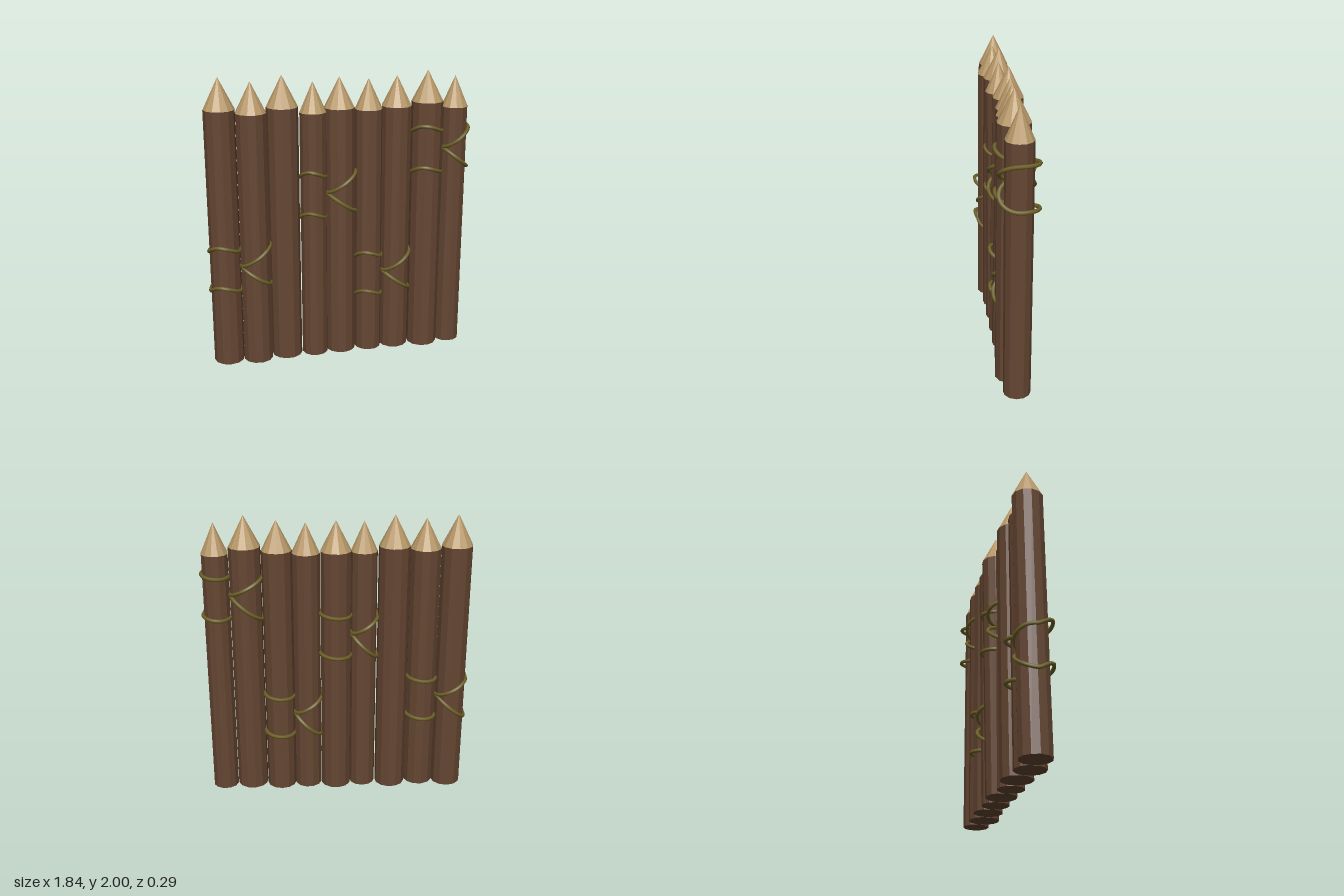
import * as THREE from 'three';

// Each log: centre x, radius, shoulder height, tip height, z at the foot, z at the tip
const LOGS = [
  [-0.806, 0.105, 1.79, 2.00, 0.01, -0.02],
  [-0.602, 0.104, 1.765, 1.97, 0.035, 0.012],
  [-0.39, 0.107, 1.79, 2.00, 0.01, -0.012],
  [-0.188, 0.091, 1.75, 1.955, 0.025, 0.015],
  [0.003, 0.105, 1.765, 1.97, 0.01, -0.03],
  [0.203, 0.095, 1.75, 1.955, 0.02, -0.015],
  [0.397, 0.103, 1.765, 1.97, 0.015, 0.0],
  [0.61, 0.108, 1.79, 2.00, 0.035, 0.015],
  [0.808, 0.091, 1.745, 1.955, 0.02, 0.01],
];

// Each lashing: first log index, upper height, lower height, loop centre z
const LASHINGS = [
  [0, 0.85, 0.56, 0.01],
  [3, 1.33, 1.04, -0.01],
  [5, 0.73, 0.44, 0.008],
  [7, 1.61, 1.32, 0.012],
];

// Lean a geometry in z by height
function lean(geometry, height, z0, z1) {
  const p = geometry.attributes.position;
  for (let i = 0; i < p.count; i++) {
    p.setZ(i, p.getZ(i) + z0 + (z1 - z0) * p.getY(i) / height);
  }
  geometry.computeVertexNormals();
  return geometry;
}

// Closed figure-eight rope around two neighbouring logs
function lashingCurve([index, high, low, cz]) {
  const [xa, ra] = LOGS[index], [xb, rb] = LOGS[index + 1];
  const left = xa - ra - 0.004, right = xb + rb + 0.004;
  const gap = (xa + ra + xb - rb) / 2;
  const mid = (high + low) / 2;
  const points = [];
  // Half turn from x0 to x1; side is +1 in front and -1 behind
  const half = (x0, x1, side, yAt) => {
    const rz = Math.max(ra, rb) + 0.016;
    for (let i = 0; i < 10; i++) {
      const t = i / 10 * Math.PI, s = (1 - Math.cos(t)) / 2;
      points.push(new THREE.Vector3(x0 + (x1 - x0) * s, yAt(s), cz + side * rz * Math.sin(t)));
    }
  };
  const line = (a, b) => s => a + (b - a) * s;
  const arch = h => s => h - 0.03 + 0.055 * Math.sin(Math.PI * Math.pow(s, 0.6));
  half(left, gap, 1, arch(high));
  half(gap, right, -1, line(high - 0.02, high));
  half(right, gap, 1, line(high, mid));
  half(gap, left, -1, line(mid, low - 0.03));
  half(left, gap, 1, arch(low));
  half(gap, right, -1, line(low - 0.02, low));
  half(right, gap, 1, line(low, mid));
  half(gap, left, -1, line(mid, high - 0.03));
  return new THREE.CatmullRomCurve3(points, true);
}

export function createModel() {
  const bark = new THREE.MeshStandardMaterial({ color: 0x654632, flatShading: true });
  bark.name = 'bark brown';
  const cutWood = new THREE.MeshStandardMaterial({ color: 0xb89868, flatShading: true });
  cutWood.name = 'cut wood tan';
  const ropeColor = new THREE.MeshStandardMaterial({ color: 0x6e6228 });
  ropeColor.name = 'rope olive';

  const model = new THREE.Group();
  model.name = 'palisadeWall';

  // Sharpened logs
  LOGS.forEach(([x, r, shoulder, tip, z0, z1], i) => {
    const log = new THREE.Group();
    log.name = `log${i + 1}`;
    log.position.x = x;
    const turn = i * 0.7;

    const trunkGeo = new THREE.CylinderGeometry(r, r, shoulder, 12, 1, false, turn);
    trunkGeo.translate(0, shoulder / 2, 0);
    const trunk = new THREE.Mesh(lean(trunkGeo, tip, z0, z1), bark);
    trunk.name = 'trunk';

    const pointGeo = new THREE.ConeGeometry(r, tip - shoulder, 12, 1, true, turn);
    pointGeo.translate(0, (tip + shoulder) / 2, 0);
    const point = new THREE.Mesh(lean(pointGeo, tip, z0, z1), cutWood);
    point.name = 'sharpenedPoint';

    log.add(trunk, point);
    model.add(log);
  });

  // Rope lashings
  LASHINGS.forEach((spec, i) => {
    const rope = new THREE.Mesh(new THREE.TubeGeometry(lashingCurve(spec), 200, 0.013, 6, true), ropeColor);
    rope.name = `ropeLashing${i + 1}`;
    model.add(rope);
  });

  return model;
}
